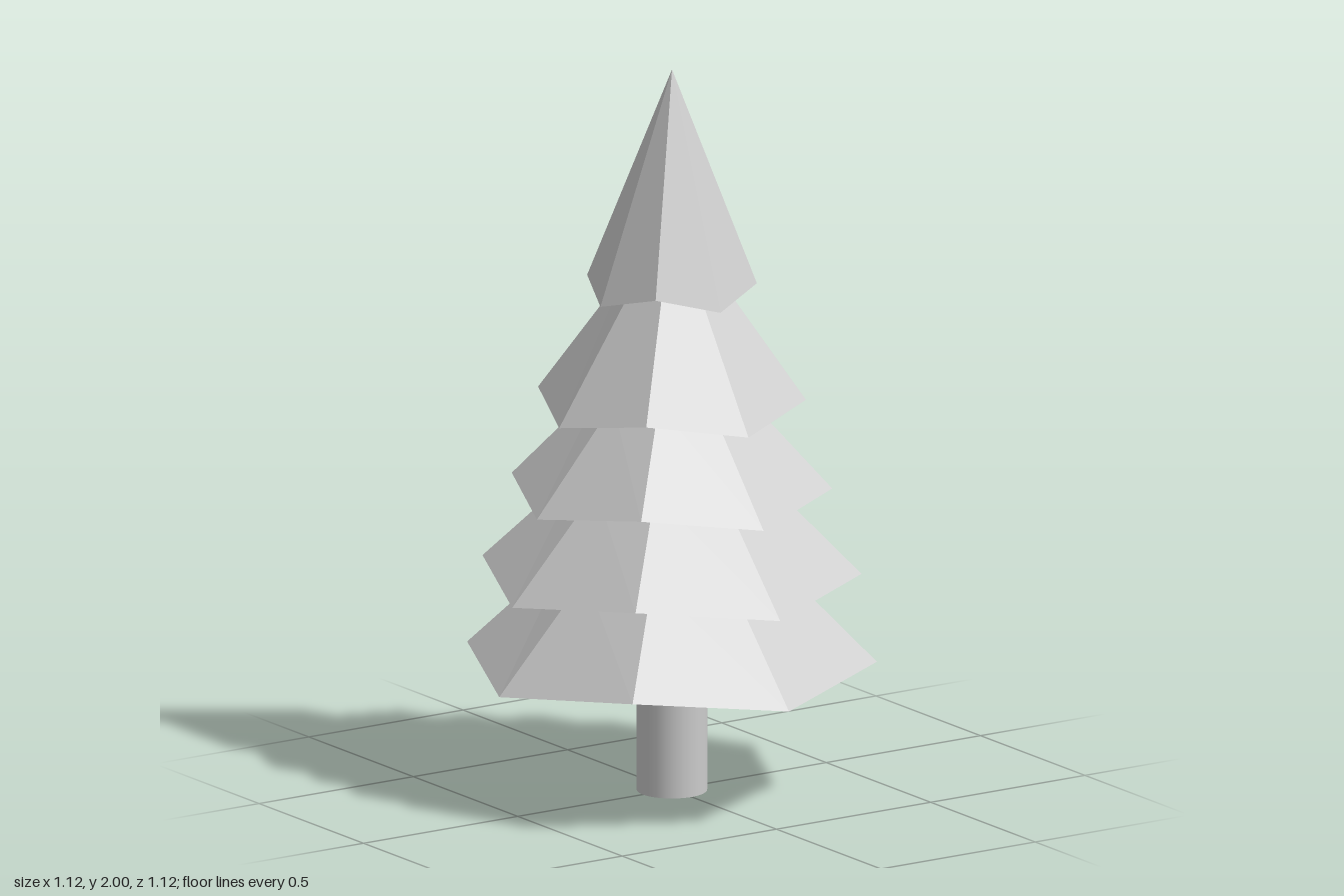
import * as THREE from 'three';

const material = new THREE.MeshStandardMaterial({ color: 0xcccccc, flatShading: true });
const trunkMaterial = new THREE.MeshStandardMaterial({ color: 0xcccccc });

// Each tier: underside ring, drooping rim and upper ring, as [radius, height]
const tiers = [
  { under: [0.27, 0.35], rim: [0.56, 0.34], top: [0.28, 0.635] },
  { under: [0.28, 0.635], rim: [0.518, 0.582], top: [0.245, 0.87] },
  { under: [0.245, 0.87], rim: [0.438, 0.815], top: [0.19, 1.1] },
  { under: [0.19, 1.1], rim: [0.366, 1.058], top: [0.13, 1.41] },
  { under: [0.13, 1.41], rim: [0.232, 1.375], top: [0, 2] },
];

// Eight-sided skirt whose diagonal rim corners are lifted
function makeTier({ under, rim, top }, index) {
  const points = [[0, under[1]], under, rim, top].map(([r, y]) => new THREE.Vector2(r, y));
  const geometry = new THREE.LatheGeometry(points, 8);
  const position = geometry.attributes.position;
  for (let i = 0; i < position.count; i++) {
    const diagonal = Math.floor(i / points.length) % 2 === 1;
    const ring = i % points.length;
    if (!diagonal) continue;
    if (ring === 2) position.setY(i, position.getY(i) + 0.043);
    else if (ring === 1 && index > 0) position.setY(i, position.getY(i) + 0.015);
    else if (ring === 3 && index < tiers.length - 1) position.setY(i, position.getY(i) + 0.015);
  }
  geometry.computeVertexNormals();
  const mesh = new THREE.Mesh(geometry, material);
  mesh.name = `foliageTier${index + 1}`;
  return mesh;
}

export function createModel() {
  const tree = new THREE.Group();
  tree.name = 'pineTree';

  // Round trunk, running slightly into the lowest tier
  const trunk = new THREE.Mesh(new THREE.CylinderGeometry(0.095, 0.095, 0.38, 24), trunkMaterial);
  trunk.position.y = 0.19;
  trunk.name = 'trunk';
  tree.add(trunk);

  // Stacked foliage
  const foliage = new THREE.Group();
  foliage.name = 'foliage';
  tiers.forEach((tier, i) => foliage.add(makeTier(tier, i)));
  tree.add(foliage);
  return tree;
}
